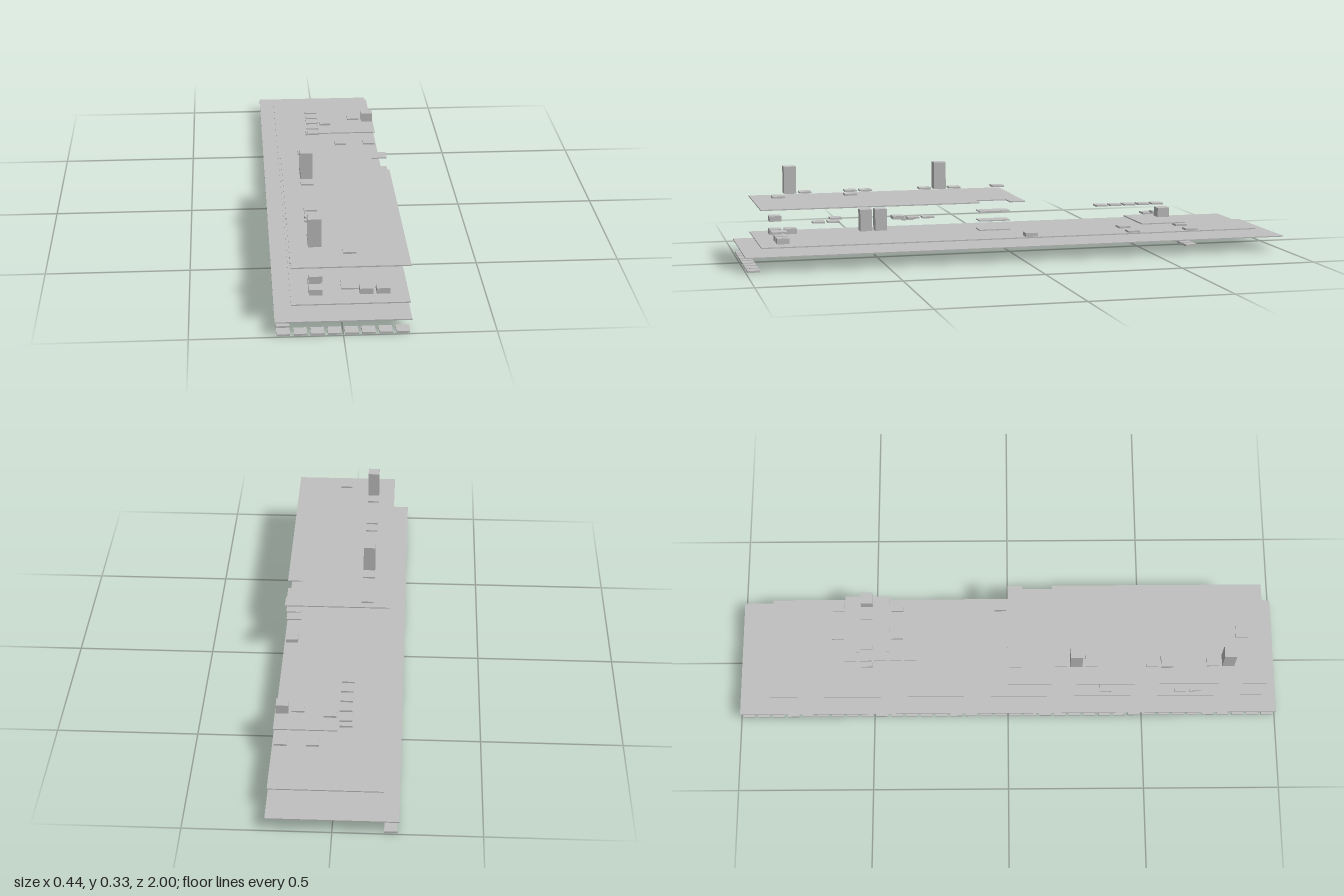
import * as THREE from 'three';

const CELL = 2 / 36;      // grid pitch
const TILE = 0.044;       // tile footprint
const SLAB = 0.004;       // floor thickness

export function createModel() {
  const model = new THREE.Group();
  model.name = 'layeredFloors';
  const grey = new THREE.MeshStandardMaterial({ color: 0xc0c0c0 });
  grey.name = 'plain grey';

  // box given by its limits on each axis
  function box(name, x0, x1, y0, y1, z0, z1) {
    const mesh = new THREE.Mesh(new THREE.BoxGeometry(x1 - x0, y1 - y0, z1 - z0), grey);
    mesh.position.set((x0 + x1) / 2, (y0 + y1) / 2, (z0 + z1) / 2);
    mesh.name = name;
    model.add(mesh);
  }
  // block standing on one grid cell: column 0..7 along x, row 0..35 along z
  function block(name, col, row, y0, y1, size = TILE) {
    const x = (col - 3.5) * CELL, z = (row - 17.5) * CELL, h = size / 2;
    box(name, x - h, x + h, y0, y1, z - h, z + h);
  }

  // floors
  const X = 4 * CELL;
  box('baseFloor', -X, X, 0.05, 0.05 + SLAB, -1, 1);
  box('middleFloor', -3 * CELL, X, 0.083, 0.083 + SLAB, -16 * CELL, 17 * CELL);
  box('mezzanine', 0, X, 0.1165, 0.1165 + SLAB, -11 * CELL, -8 * CELL);

  // upper floor with a stairwell cut into its left edge
  const plan = new THREE.Shape([
    [-3, 0], [4, 0], [4, 1], [3, 1], [3, 3], [4, 3], [4, 17], [-3, 17],
  ].map(([x, z]) => new THREE.Vector2(x * CELL, -z * CELL)));
  const upper = new THREE.Mesh(
    new THREE.ExtrudeGeometry(plan, { depth: SLAB, bevelEnabled: false }), grey);
  upper.rotation.x = -Math.PI / 2;
  upper.position.y = 0.216;
  upper.name = 'upperFloor';
  model.add(upper);

  // stair landings below the stairwell
  for (const y of [0.1165, 0.15, 0.183]) {
    box('stairLanding', 3 * CELL, X, y, y + SLAB, CELL, 3 * CELL);
  }

  // border tiles along the front and the right side
  for (let row = 0; row < 36; row++) block('borderTile', 0, row, 0, 0.007);
  for (let col = 1; col < 8; col++) block('borderTile', col, 35, 0, 0.007);

  // tiles hung under the base floor
  for (let col = 4; col < 8; col++) block('lowerTile', col, 6, 0.028, 0.035);

  // rear area: floor tiles, raised row, mezzanine pieces
  for (const [col, row] of [[5, 6], [7, 6], [5, 10], [7, 10], [3, 8]]) {
    block('rearTile', col, row, 0.087, 0.094);
  }
  for (let row = 7; row <= 11; row++) block('raisedTile', 3, row, 0.155, 0.161);
  block('mezzanineTile', 4, 8, 0.128, 0.135);
  block('mezzanineTile', 6, 8, 0.148, 0.154);
  block('mezzanineBlock', 7, 8, 0.141, 0.175);
  block('stairBlock', 7, 17, 0.087, 0.101);

  // front room blocks on the middle floor
  for (const [col, row] of [[5, 33], [6, 33], [2, 33], [2, 32]]) {
    block('lowBlock', col, row, 0.087, 0.107);
  }
  block('raisedBlock', 2, 33, 0.135, 0.155);
  block('tablePlate', 4, 33, 0.109, 0.114, CELL);
  for (const row of [26, 27]) block('tallBlock', 2, row, 0.087, 0.167);

  // floating tiles between the middle and upper floors
  for (const row of [24, 29, 30]) block('sideTile', 1, row, 0.114, 0.12);
  for (const row of [23, 24, 25]) block('innerTile', 3, row, 0.135, 0.141);
  block('innerTile', 3, 25, 0.141, 0.147);
  block('innerTile', 2, 29, 0.135, 0.141);
  block('ceilingTile', 4, 33, 0.207, 0.214);

  // roof tiles and towers above the upper floor
  for (const row of [18, 21, 23, 27, 28, 31]) block('roofTile', 2, row, 0.235, 0.241);
  block('roofTile', 2, 28, 0.221, 0.228);
  block('roofTile', 4, 33, 0.235, 0.241);
  for (const row of [22, 32]) block('tower', 2, row, 0.235, 0.334);

  return model;
}
